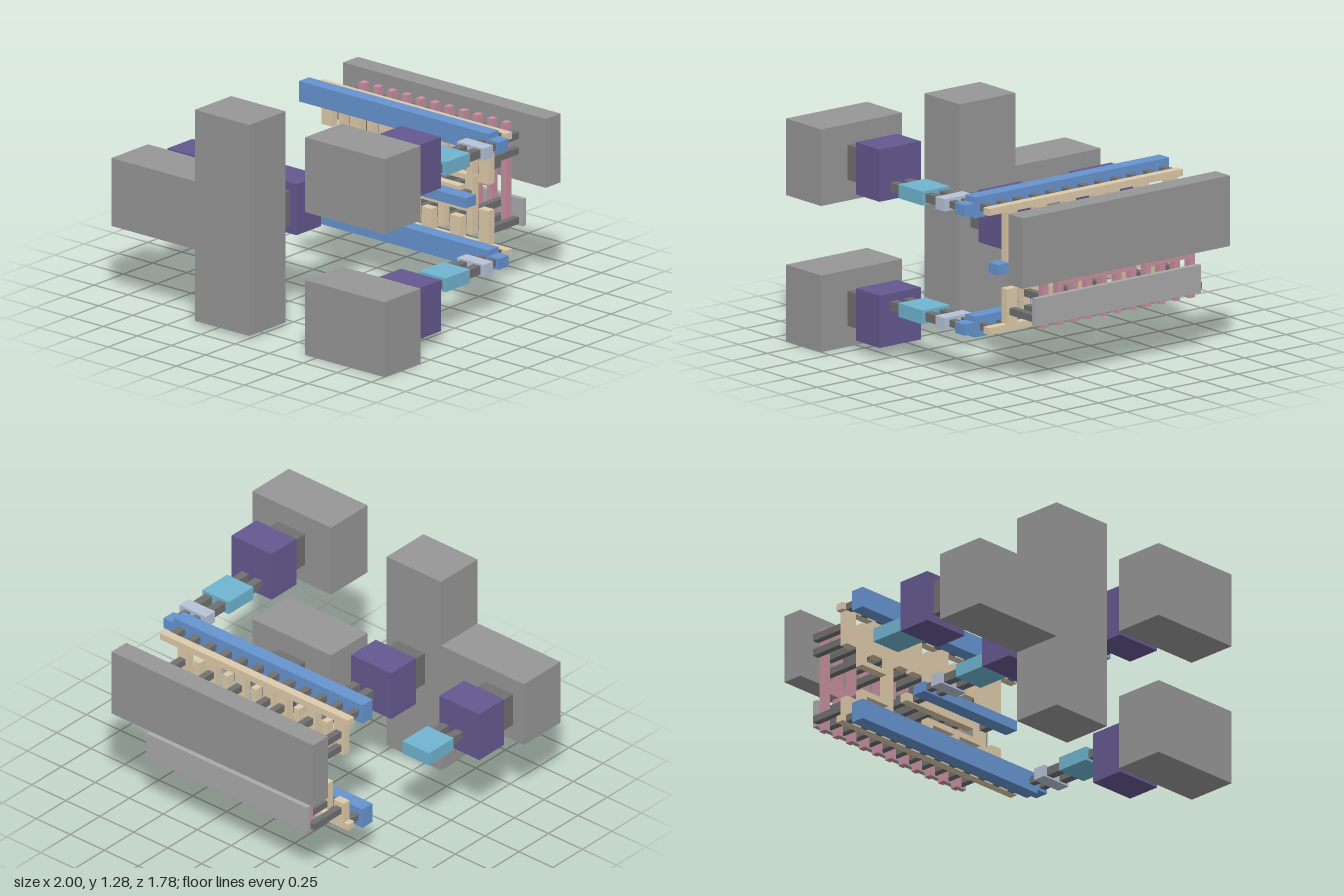
import * as THREE from 'three';

const mat = (color) => new THREE.MeshStandardMaterial({ color, flatShading: true });

export function createModel() {
  const root = new THREE.Group();
  const M = {
    grey: mat(0x969696), pale: mat(0xaaaaaa), via: mat(0x707070), purple: mat(0x64588f),
    teal: mat(0x70b4d0), ice: mat(0xb6c2d6), blue: mat(0x6694cf), tan: mat(0xddcaaa), pink: mat(0xc78fa0),
  };

  // Box given by its extents on each axis
  const box = (name, m, x0, x1, y0, y1, z0, z1) => {
    const mesh = new THREE.Mesh(new THREE.BoxGeometry(x1 - x0, y1 - y0, z1 - z0), M[m]);
    mesh.position.set((x0 + x1) / 2, (y0 + y1) / 2, (z0 + z1) / 2);
    mesh.name = name;
    root.add(mesh);
  };
  // Box given by centre and size in x and y
  const block = (name, m, x, y, w, h, z0, z1) =>
    box(name, m, x - w / 2, x + w / 2, y - h / 2, y + h / 2, z0, z1);

  // Large front blocks
  box('frontColumn', 'grey', -0.39, 0.01, 0.02, 1.26, 0.58, 0.89);
  box('frontArm', 'grey', -1, -0.39, 0.44, 0.84, 0.58, 0.89);
  box('upperFrontBlock', 'grey', 0.42, 1, 0.84, 1.28, 0.58, 0.89);
  box('lowerFrontBlock', 'grey', 0.42, 1, 0, 0.44, 0.58, 0.89);

  // Stacks of pads and connecting pins: x, y of the big pad, y of the small pads
  const stacks = [
    [0.71, 1.06, 0.983, true], [0.71, 0.22, 0.3, true],
    [-0.17, 0.64, 0.6, true], [-0.82, 0.64, 0.6, false],
  ];
  for (const [x, yBig, y, full] of stacks) {
    const cx = x < 0 && full ? -0.112 : x < 0 ? -0.768 : 0.706;
    block('wideConnector', 'via', x, yBig, 0.2, 0.2, 0.45, 0.58);
    block('bigPad', 'purple', x, yBig, 0.295, 0.3, 0.24, 0.45);
    block('middlePad', 'teal', cx, y, 0.195, 0.08, -0.07, 0.14);
    for (const s of [-1, 1]) {
      block('frontPin', 'via', cx + s * 0.05, y, 0.05, 0.05, 0.14, 0.24);
      if (!full) continue;
      block('middlePin', 'via', cx + s * 0.05, y, 0.05, 0.05, -0.19, -0.07);
      block('rearPin', 'via', cx + s * 0.04, y, 0.04, 0.04, -0.34, -0.265);
    }
    if (full) block('smallPad', 'ice', cx, y, 0.195, 0.07, -0.265, -0.185);
  }

  // Blue rails with narrow end tabs
  for (const y of [0.985, 0.3]) {
    block('blueRail', 'blue', 0.015, y, 1.39, 0.12, -0.42, -0.335);
    block('railTab', 'blue', 0.7475, y - 0.005, 0.075, 0.064, -0.42, -0.335);
  }
  box('middleRail', 'blue', -0.19, 0.545, 0.57, 0.63, -0.42, -0.335);

  // Pins between blue rails and tan layer, plus the thin tan rails
  for (const y of [0.983, 0.298]) {
    for (let i = 0; i < 12; i++) block('railPin', 'via', -0.63 + i * 0.1164, y, 0.045, 0.04, -0.49, -0.42);
    block('tanRail', 'tan', 0.0125, y, 1.385, 0.04, -0.54, -0.49);
  }
  for (const x of [-0.1, 0.43]) block('middleRailPin', 'via', x, 0.597, 0.045, 0.04, -0.49, -0.42);

  // Tan fingers: rail fingers and signal fingers alternate
  const colX = (i) => -0.61 + i * 0.1045;
  const railFingers = [0, 2, 4, 5, 7, 9, 11];
  for (let i = 0; i < 12; i++) {
    const x = colX(i), fromRail = railFingers.includes(i), last = i === 11;
    if (fromRail) {
      box('upperFinger', 'tan', x - 0.037, x + 0.037, last ? 0.675 : 0.76, 0.97, -0.54, -0.49);
      box('lowerFinger', 'tan', x - 0.037, x + 0.037, 0.31, last ? 0.52 : 0.44, -0.54, -0.49);
    } else {
      box('upperSignalFinger', 'tan', x - 0.02, x + 0.02, 0.69, 0.925, -0.54, -0.49);
      box('lowerSignalFinger', 'tan', x - 0.02, x + 0.02, 0.355, 0.5, -0.54, -0.49);
    }
    // Contacts reaching back to the plates
    const upper = fromRail ? [0.89, 0.8] : [0.8, 0.71];
    for (const y of upper) block('upperContact', 'via', x, y, 0.04, 0.04, -0.77, -0.54);
    for (const y of fromRail ? [0.39] : [0.39, 0.48]) block('lowerContact', 'via', x, y, 0.04, 0.04, -0.77, -0.54);
  }

  // Signal bars tying the fingers together
  for (const [a, b] of [[colX(1) - 0.02, colX(3) + 0.02], [colX(6) - 0.02, 0.46]]) {
    box('upperSignalBar', 'tan', a, b, 0.67, 0.70, -0.54, -0.49);
    box('lowerSignalBar', 'tan', a, b, 0.485, 0.52, -0.54, -0.49);
    box('signalLink', 'tan', b - 0.055, b, 0.52, 0.67, -0.54, -0.49);
  }
  box('gateBar', 'tan', -0.17, 0.36, 0.57, 0.62, -0.54, -0.49);

  // Pink upright strips and their cross pads
  for (let i = 0; i < 11; i++) {
    const x = -0.56 + i * 0.1045;
    block('pinkStrip', 'pink', x, 0.645, 0.038, 0.63, -0.77, -0.725);
    if (i >= 4 && i <= 8) block('stripContact', 'via', x, 0.59, 0.04, 0.04, -0.725, -0.54);
  }
  for (const [a, b] of [[-0.58, -0.23], [-0.16, 0.4]])
    box('pinkPad', 'pink', a, b, 0.56, 0.64, -0.77, -0.725);

  // Rear plates
  box('upperRearPlate', 'grey', -0.73, 0.755, 0.625, 1.03, -0.895, -0.77);
  box('lowerRearPlate', 'pale', -0.6, 0.585, 0.36, 0.52, -0.80, -0.77);

  return root;
}
